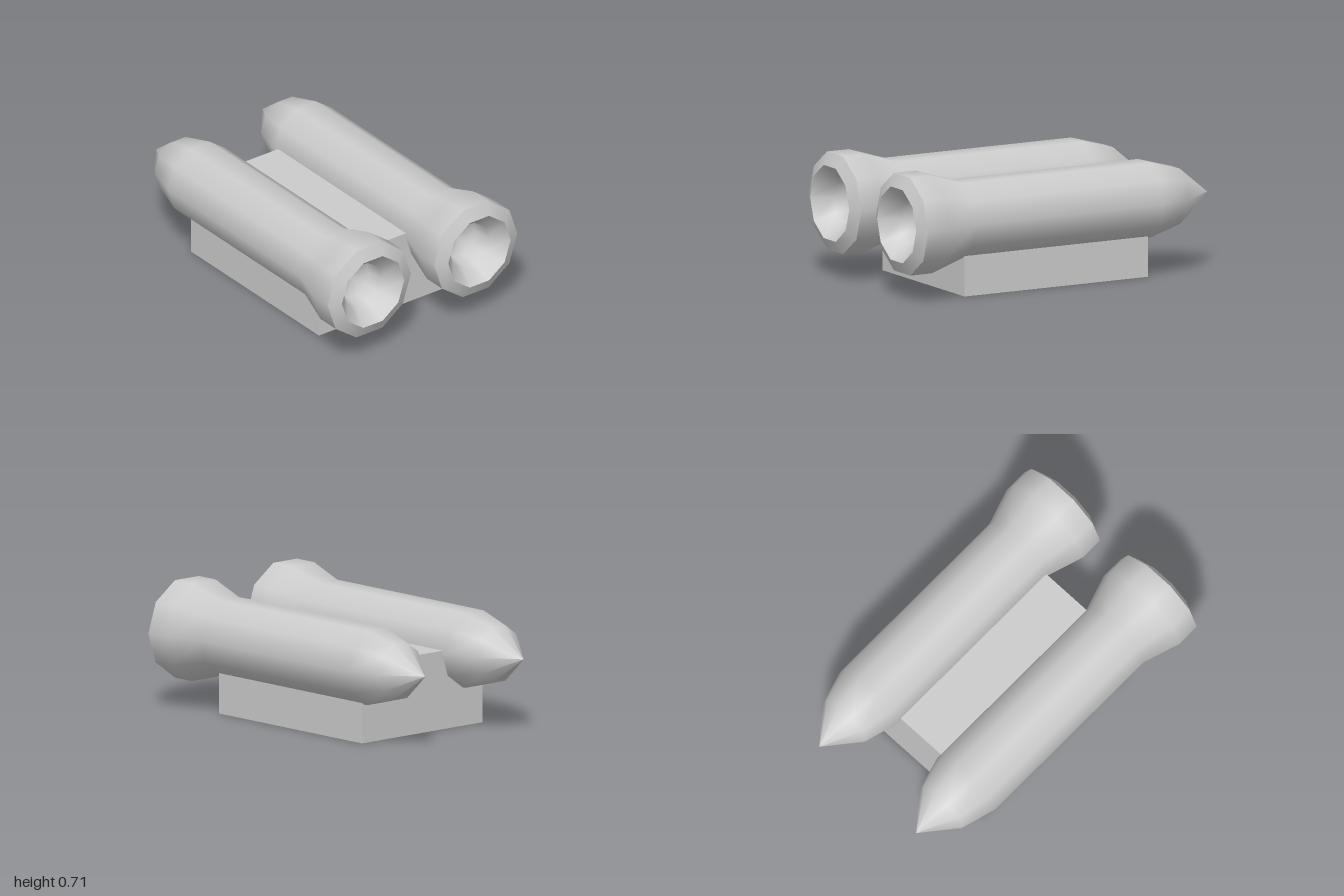
import * as THREE from 'three';

const SIDES = 10;

// Profiles are [radius, z], running from the pointed tail to the front opening.
const PROFILES = {
  hull: [[0, -1], [0.165, -0.795], [0.222, -0.595], [0.222, 0.61], [0.291, 0.825], [0.291, 0.965]],
  rim: [[0.291, 0.965], [0.218, 1]],
  nozzle: [[0.218, 1], [0.135, 0.9], [0.115, 0.81], [0, 0.79]],
};

export function createModel() {
  const model = new THREE.Group();
  model.name = 'twinBoosters';
  const material = new THREE.MeshStandardMaterial({ color: 0xcccccc });

  // Block that joins the two tubes
  const base = new THREE.Mesh(new THREE.BoxGeometry(0.91, 0.446, 1.18), material);
  base.name = 'base';
  base.position.set(0, 0.223, 0.02);
  model.add(base);

  // Each tube is three lathes, so the rim keeps sharp edges
  for (const side of [-1, 1]) {
    const tube = new THREE.Group();
    tube.name = side > 0 ? 'leftBooster' : 'rightBooster';
    tube.position.set(side * 0.372, 0.43, 0);
    for (const [name, profile] of Object.entries(PROFILES)) {
      const points = profile.map(([r, z]) => new THREE.Vector2(r, z));
      const geometry = new THREE.LatheGeometry(points, SIDES, Math.PI / 2);
      geometry.rotateX(Math.PI / 2);
      const mesh = new THREE.Mesh(geometry, material);
      mesh.name = name;
      tube.add(mesh);
    }
    model.add(tube);
  }
  return model;
}
